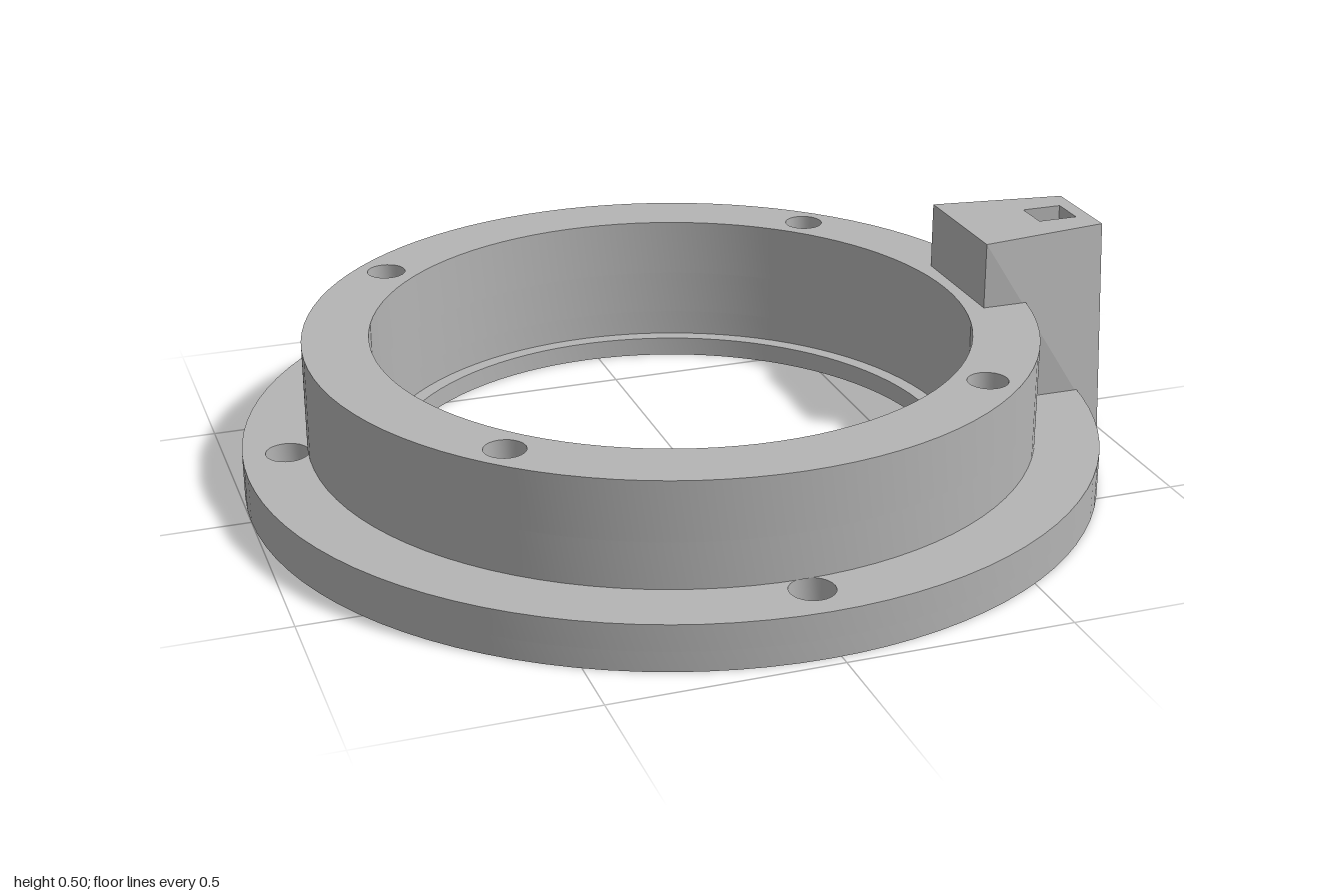
import * as THREE from 'three';
import { mergeGeometries, toCreasedNormals } from 'three/addons/utils/BufferGeometryUtils.js';

const CX = -0.025; // ring axis

function circle(cx, cz, r, n) {
  const pts = [];
  for (let i = 0; i < n; i++) {
    const a = (i / n) * Math.PI * 2;
    pts.push(new THREE.Vector2(cx + r * Math.cos(a), -cz + r * Math.sin(a)));
  }
  return pts;
}

const rect = (x0, x1, y0, y1) => [[x0, y0], [x1, y0], [x1, y1], [x0, y1]].map(p => new THREE.Vector2(...p));

function shapeOf(outline, holes = []) {
  const s = new THREE.Shape(outline);
  holes.forEach(h => s.holes.push(new THREE.Path(h)));
  return s;
}

// Holes evenly placed or at given angles on a circle around the ring axis
const holesAt = (angles, radius, r) =>
  angles.map(a => circle(CX + radius * Math.cos(a), radius * Math.sin(a), r, 24));

// One horizontal slice of the ring
function layer(outer, inner, y0, y1, holes) {
  const s = shapeOf(circle(CX, 0, outer, 96), [circle(CX, 0, inner, 96), ...holes]);
  const g = new THREE.ExtrudeGeometry(s, { depth: y1 - y0, bevelEnabled: false });
  g.rotateX(-Math.PI / 2).translate(0, y0, 0);
  return toCreasedNormals(g, 0.6);
}

// Flat-shaded polygon fans, corners counter-clockwise from outside
function faces(list) {
  const pos = [];
  for (const f of list)
    for (let i = 1; i < f.length - 1; i++) pos.push(...f[0], ...f[i], ...f[i + 1]);
  const g = new THREE.BufferGeometry();
  g.setAttribute('position', new THREE.Float32BufferAttribute(pos, 3));
  g.computeVertexNormals();
  return g;
}

// Inward-facing box with some sides left open (0 +x, 1 -x, 2 +y, 3 -y)
function pocket(x0, x1, y0, y1, halfZ, open) {
  const g = new THREE.BoxGeometry(x1 - x0, y1 - y0, halfZ * 2);
  g.translate((x0 + x1) / 2, (y0 + y1) / 2, 0);
  const src = g.index.array, idx = [];
  for (let i = 0; i < src.length; i += 3)
    if (!open.includes(Math.floor(i / 6))) idx.push(src[i], src[i + 2], src[i + 1]);
  g.setIndex(idx);
  const out = g.toNonIndexed();
  out.computeVertexNormals();
  return out;
}

export function createModel() {
  const model = new THREE.Group();
  const grey = new THREE.MeshStandardMaterial({ color: 0xb4b4b4 });
  const add = (name, geos) => {
    const list = geos.map(g => {
      const n = g.index ? g.toNonIndexed() : g;
      n.deleteAttribute('uv');
      return n;
    });
    const mesh = new THREE.Mesh(mergeGeometries(list), grey);
    mesh.name = name;
    model.add(mesh);
  };

  // Hole patterns: small blind holes below, mounting holes, blind holes on top
  const small = holesAt(Array.from({ length: 26 }, (_, i) => (i / 26) * Math.PI * 2), 0.75, 0.041);
  const side = 0.126;
  const mounting = holesAt([Math.PI / 2, -Math.PI / 2, -side, Math.PI + side], 0.875, 0.049);
  const topHoles = holesAt([1, 3, 5, 7].map(k => k * Math.PI / 4), 0.757, 0.045);

  // Wide flange with a narrow inner lip at its foot
  add('flange', [
    layer(0.975, 0.645, 0, 0.045, [...small, ...mounting]),
    layer(0.975, 0.68, 0.045, 0.105, [...small, ...mounting]),
  ]);

  // Raised collar
  add('collar', [
    layer(0.83, 0.68, 0.105, 0.21, small),
    layer(0.83, 0.68, 0.21, 0.345, topHoles),
  ]);

  // Tapered block on the side of the ring
  const xi = 0.685, xo = 1, top = 0.5, w = 0.147, t = 0.105;
  const sides = faces([
    [[xi, 0, w], [xo, 0, w], [xi, top, w]],
    [[xi, top, w], [xo, 0, w], [xo, top, t]],
    [[xi, 0, -w], [xi, top, -w], [xo, 0, -w]],
    [[xi, top, -w], [xo, top, -t], [xo, 0, -w]],
    [[xi, 0.3, -w], [xi, 0.3, w], [xi, top, w], [xi, top, -w]],
    [[0.895, 0, -w], [xo, 0, -w], [xo, 0, w], [0.895, 0, w]],
  ]);
  const v = (x, y) => new THREE.Vector2(x, y);
  const topFace = new THREE.ShapeGeometry(shapeOf(
    [v(xi, -w), v(xo, -t), v(xo, t), v(xi, w)], [rect(0.87, 0.965, -0.042, 0.042)]));
  topFace.rotateX(-Math.PI / 2).translate(0, top, 0);
  const outerFace = new THREE.ShapeGeometry(shapeOf(
    [v(-w, 0), v(w, 0), v(t, top), v(-t, top)], [rect(-0.03, 0.03, 0.125, 0.195)]));
  outerFace.rotateY(Math.PI / 2).translate(xo, 0, 0);
  add('sideBlock', [sides, topFace, outerFace]);

  // Stepped socket in the top of the block and a slot in its outer face
  const ledge = new THREE.ShapeGeometry(shapeOf(
    rect(0.87, 0.965, -0.042, 0.042), [rect(0.885, 0.95, -0.027, 0.027)]));
  ledge.rotateX(-Math.PI / 2).translate(0, 0.46, 0);
  add('blockSocket', [
    pocket(0.87, 0.965, 0.46, top, 0.042, [2, 3]),
    ledge,
    pocket(0.885, 0.95, 0.125, 0.46, 0.027, [2]),
  ]);
  add('blockSlot', [pocket(0.95, xo, 0.125, 0.195, 0.03, [0])]);

  return model;
}
